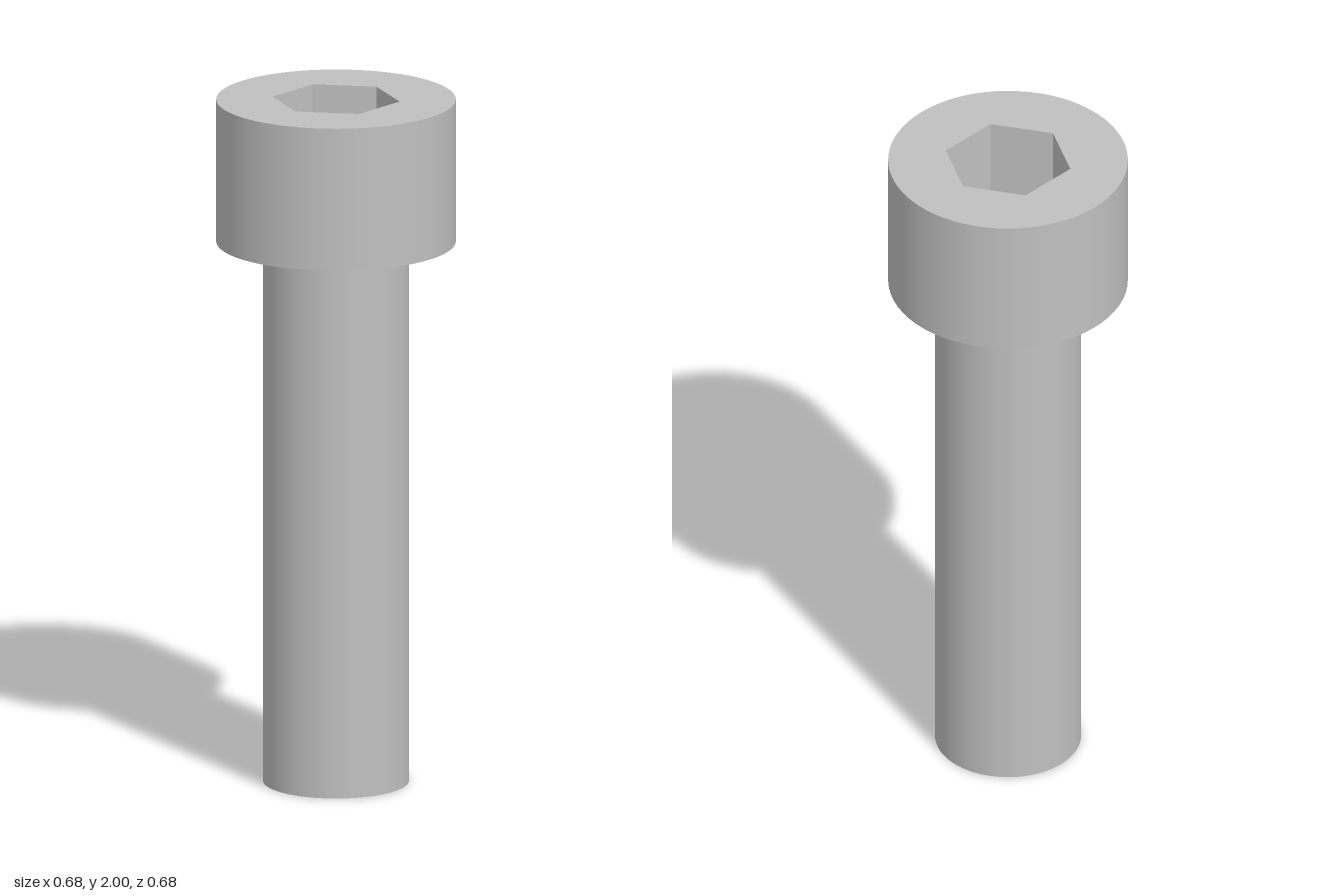
import * as THREE from 'three';

const HEIGHT = 2;
const HEAD_BASE = 1.583;
const HEAD_R = 0.341;
const SHANK_R = 0.208;
const HEX_R = 0.183; // centre to corner, corners on +x and -x
const SOCKET_DEPTH = 0.25;
const SEGMENTS = 64;

export function createModel() {
  const group = new THREE.Group();
  group.name = 'socketHeadBolt';

  const steel = new THREE.MeshStandardMaterial({ color: 0xc0c0c0 });
  steel.name = 'steel grey';

  const add = (name, geometry, y) => {
    const mesh = new THREE.Mesh(geometry, steel);
    mesh.name = name;
    mesh.position.y = y;
    group.add(mesh);
  };
  const tube = (r, h, sides, start = 0) =>
    new THREE.CylinderGeometry(r, r, h, sides, 1, true, start);

  // Shank with its flat end
  add('shank', tube(SHANK_R, HEAD_BASE, SEGMENTS), HEAD_BASE / 2);
  add('shankEnd', new THREE.CircleGeometry(SHANK_R, SEGMENTS).rotateX(Math.PI / 2), 0);

  // Head side and the bearing face under it
  const headHeight = HEIGHT - HEAD_BASE;
  add('headSide', tube(HEAD_R, headHeight, SEGMENTS), HEAD_BASE + headHeight / 2);
  add('headUnderside', new THREE.RingGeometry(SHANK_R, HEAD_R, SEGMENTS).rotateX(Math.PI / 2), HEAD_BASE);

  // Head top with a hexagonal opening
  const top = new THREE.Shape().absarc(0, 0, HEAD_R, 0, Math.PI * 2);
  const corners = Array.from({ length: 6 }, (_, i) => {
    const a = -i * Math.PI / 3;
    return new THREE.Vector2(HEX_R * Math.cos(a), HEX_R * Math.sin(a));
  });
  top.holes.push(new THREE.Path(corners));
  add('headTop', new THREE.ShapeGeometry(top, SEGMENTS / 2).rotateX(-Math.PI / 2), HEIGHT);

  // Socket walls, mirrored so that they face inward, and the socket floor
  const walls = tube(HEX_R, SOCKET_DEPTH, 6, Math.PI / 2).scale(-1, 1, 1).toNonIndexed();
  walls.computeVertexNormals();
  add('socketWalls', walls, HEIGHT - SOCKET_DEPTH / 2);
  add('socketFloor', new THREE.CircleGeometry(HEX_R, 6).rotateX(-Math.PI / 2), HEIGHT - SOCKET_DEPTH);

  return group;
}
